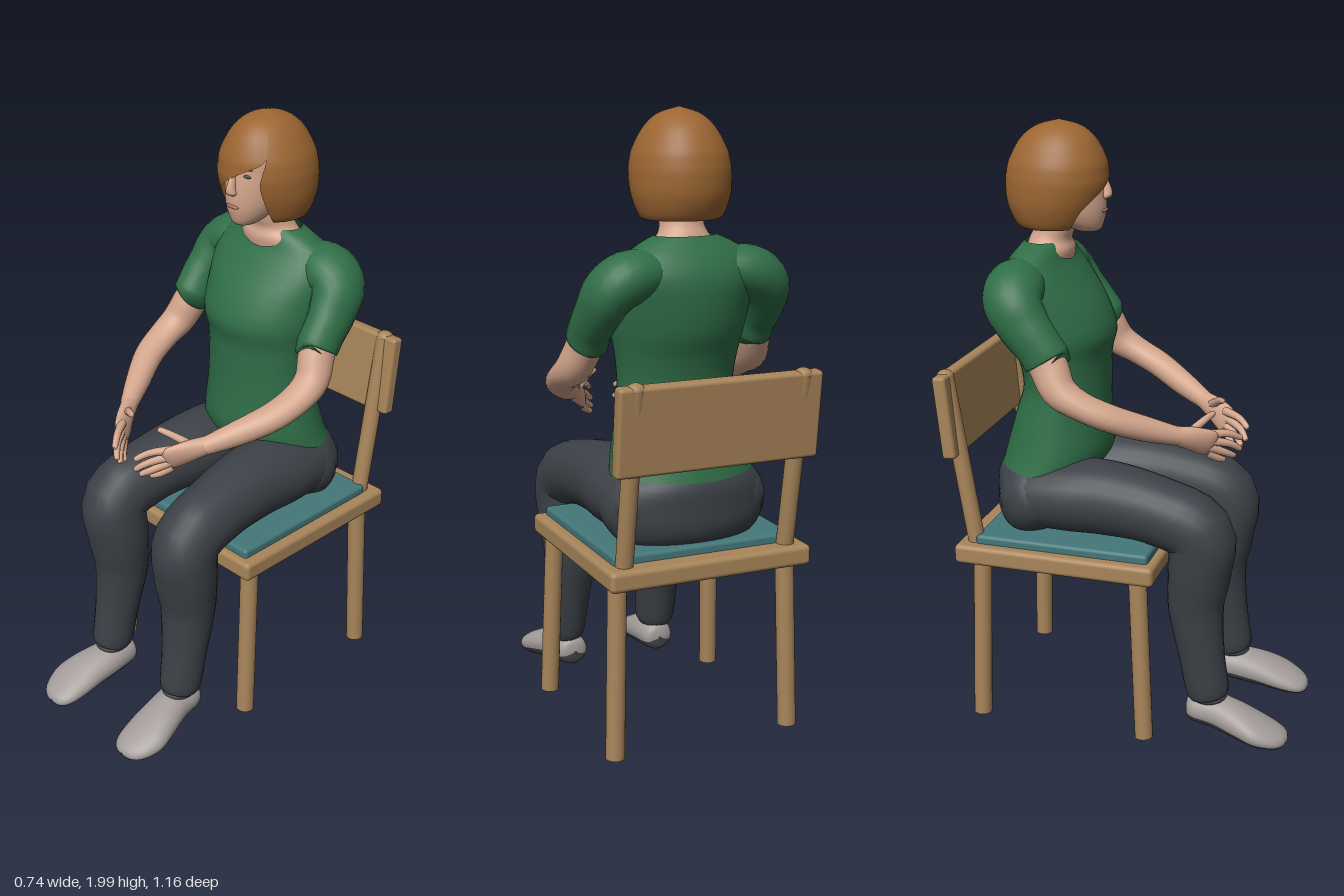
import * as THREE from 'three';
import { RoundedBoxGeometry } from 'three/addons/geometries/RoundedBoxGeometry.js';

const paint = (name, color, side = THREE.FrontSide) => {
  const m = new THREE.MeshStandardMaterial({ color, side });
  m.name = name;
  return m;
};

// Smooth skin over cross-sections: each row is [x, y, z, radiusU, radiusV, startDeg, endDeg].
// U is the ref axis squared to the path; a fixed normal keeps all rings parallel.
function loft(rows, { ref = [1, 0, 0], normal = null, steps = 4, sides = 24 } = {}) {
  const curve = (f) => new THREE.CatmullRomCurve3(rows.map((r) => new THREE.Vector3(...f(r))), false, 'catmullrom', 0.5);
  const path = curve((r) => [r[0], r[1], r[2]]);
  const size = curve((r) => [r[3], r[4], 0]);
  const arc = curve((r) => [r[5] ?? 0, r[6] ?? 360, 0]);
  const open = rows.some((r) => r.length > 5);
  const n = (rows.length - 1) * steps, w = open ? sides + 1 : sides;
  const pos = [], index = [];
  for (let i = 0; i <= n; i++) {
    const t = i / n, c = path.getPoint(t), s = size.getPoint(t), a = arc.getPoint(t);
    const dir = normal ? new THREE.Vector3(...normal) : path.getTangent(t);
    const u = new THREE.Vector3(...ref);
    u.addScaledVector(dir, -u.dot(dir)).normalize();
    const v = dir.clone().cross(u);
    for (let j = 0; j < w; j++) {
      const k = THREE.MathUtils.degToRad(a.x + (a.y - a.x) * j / sides);
      const p = c.clone().addScaledVector(u, Math.cos(k) * Math.max(s.x, 1e-4)).addScaledVector(v, Math.sin(k) * Math.max(s.y, 1e-4));
      pos.push(p.x, p.y, p.z);
    }
  }
  for (let i = 0; i < n; i++) for (let j = 0; j < sides; j++) {
    const a = i * w + j, b = i * w + (j + 1) % w;
    index.push(a, b, a + w, b, b + w, a + w);
  }
  const g = new THREE.BufferGeometry();
  g.setAttribute('position', new THREE.Float32BufferAttribute(pos, 3));
  g.setIndex(index);
  g.computeVertexNormals();
  return g;
}

export function createModel() {
  const root = new THREE.Group();
  root.name = 'seatedWoman';
  const wood = paint('wood', 0xa8855a), teal = paint('cushionTeal', 0x44777a);
  const skin = paint('skin', 0xd3a58c), green = paint('shirtGreen', 0x2f6e47, THREE.DoubleSide);
  const denim = paint('trouserGrey', 0x3c4147), hairMat = paint('hairBrown', 0x9c6632, THREE.DoubleSide);
  const shoe = paint('shoeGrey', 0xa39c9a, THREE.DoubleSide), dark = paint('soleGrey', 0x45494d, THREE.DoubleSide);
  const lip = paint('lipRose', 0xb07a6c), eyeMat = paint('eyeDark', 0x5a5048);

  const add = (name, geo, mat, at = [0, 0, 0]) => {
    const m = new THREE.Mesh(geo, mat);
    m.name = name;
    m.position.set(...at);
    root.add(m);
    return m;
  };
  const rod = (name, a, b, r) => {
    const A = new THREE.Vector3(...a), B = new THREE.Vector3(...b), d = B.clone().sub(A);
    const m = add(name, new THREE.CylinderGeometry(r, r, d.length(), 20), wood, A.clone().add(B).multiplyScalar(0.5).toArray());
    m.quaternion.setFromUnitVectors(new THREE.Vector3(0, 1, 0), d.normalize());
  };
  const blob = (name, mat, at, scale) => add(name, new THREE.SphereGeometry(1, 20, 14), mat, at).scale.set(...scale);
  const level = { normal: [0, 1, 0], sides: 36 };

  // Chair
  add('seatFrame', new RoundedBoxGeometry(0.68, 0.066, 0.675, 3, 0.016), wood, [0, 0.626, -0.182]);
  add('cushion', new RoundedBoxGeometry(0.61, 0.05, 0.585, 3, 0.012), teal, [0, 0.662, -0.163]);
  add('backrest', new RoundedBoxGeometry(0.67, 0.275, 0.046, 3, 0.012), wood, [0, 1.09, -0.538]).rotation.x = -0.1;
  for (const s of [1, -1]) {
    rod('frontLeg', [s * 0.303, 0.035, 0.12], [s * 0.288, 0.61, 0.093], 0.03);
    rod('backLeg', [s * 0.303, 0.035, -0.452], [s * 0.288, 0.61, -0.438], 0.03);
    rod('backPost', [s * 0.275, 0.64, -0.46], [s * 0.275, 1.215, -0.55], 0.028);
    blob('postCap', wood, [s * 0.275, 1.215, -0.55], [0.028, 0.022, 0.028]);
  }

  // Torso and hips
  add('shirtBody', loft([
    [0, 0.85, -0.295, 0.245, 0.16], [0, 0.93, -0.26, 0.225, 0.175], [0, 1.05, -0.245, 0.203, 0.155],
    [0, 1.15, -0.232, 0.19, 0.14], [0, 1.25, -0.24, 0.2, 0.15], [0, 1.33, -0.247, 0.215, 0.173],
    [0, 1.42, -0.272, 0.225, 0.163], [0, 1.5, -0.3, 0.235, 0.135], [0, 1.56, -0.31, 0.21, 0.1],
    [0, 1.6, -0.302, 0.15, 0.078], [0, 1.622, -0.297, 0.1, 0.066]], level), green);
  add('hips', loft([
    [0, 0.675, -0.32, 0.01, 0.01], [0, 0.68, -0.32, 0.2, 0.1], [0, 0.73, -0.3, 0.262, 0.155],
    [0, 0.8, -0.29, 0.278, 0.168], [0, 0.87, -0.295, 0.245, 0.158], [0, 0.91, -0.28, 0.18, 0.13],
    [0, 0.92, -0.28, 0.01, 0.01]], level), denim);

  // Neck and head
  add('neck', loft([
    [0, 1.54, -0.295, 0.11, 0.08], [0, 1.59, -0.284, 0.112, 0.077], [0, 1.625, -0.283, 0.08, 0.068],
    [0, 1.67, -0.268, 0.068, 0.066], [0, 1.78, -0.26, 0.068, 0.066]], level), skin);
  add('head', loft([
    [0, 1.65, -0.165, 0.003, 0.003], [0, 1.657, -0.16, 0.032, 0.04], [0, 1.685, -0.18, 0.062, 0.075],
    [0, 1.73, -0.2, 0.083, 0.103], [0, 1.79, -0.22, 0.095, 0.12], [0, 1.83, -0.225, 0.098, 0.119],
    [0, 1.88, -0.235, 0.1, 0.125], [0, 1.94, -0.245, 0.08, 0.1], [0, 1.965, -0.25, 0.003, 0.003]], level), skin);
  add('nose', loft([
    [0, 1.755, -0.103, 0.004, 0.004], [0, 1.766, -0.095, 0.018, 0.016], [0, 1.785, -0.094, 0.014, 0.017],
    [0, 1.815, -0.103, 0.009, 0.014], [0, 1.845, -0.112, 0.006, 0.006]], level), skin);
  blob('lips', lip, [0, 1.722, -0.1], [0.026, 0.007, 0.006]);
  for (const s of [1, -1]) {
    blob('eye', eyeMat, [s * 0.043, 1.825, -0.118], [0.017, 0.005, 0.006]);
    blob('brow', hairMat, [s * 0.045, 1.849, -0.119], [0.021, 0.0035, 0.006]);
  }

  // Bob haircut: the arc opens at the side parting and sweeps across the brow
  add('hair', loft([
    [0, 1.675, -0.265, 0.09, 0.08, -40, 222], [0, 1.672, -0.268, 0.125, 0.117, -43, 224],
    [0, 1.735, -0.265, 0.15, 0.152, -50, 232], [0, 1.8, -0.258, 0.155, 0.166, -53, 262],
    [0, 1.84, -0.256, 0.151, 0.164, -50, 286], [0, 1.88, -0.254, 0.14, 0.155, -45, 314],
    [0, 1.94, -0.252, 0.106, 0.122, -42, 318], [0, 1.98, -0.25, 0.062, 0.072, -42, 318],
    [0, 2, -0.25, 0.001, 0.001, -42, 318]], { ...level, sides: 48, steps: 5 }), hairMat);

  for (const s of [1, -1]) {
    const flip = (rows) => rows.map(([x, ...rest]) => [s * x, ...rest]);
    const limb = (name, rows, mat, opt) => add(name, loft(flip(rows), opt), mat);

    // Sleeve, arm and hand
    limb('sleeve', [
      [0.12, 1.515, -0.325, 0.08, 0.07], [0.2, 1.505, -0.33, 0.096, 0.082], [0.258, 1.465, -0.318, 0.093, 0.08],
      [0.277, 1.4, -0.275, 0.083, 0.07], [0.283, 1.345, -0.23, 0.076, 0.065], [0.283, 1.3, -0.2, 0.076, 0.064],
      [0.285, 1.302, -0.202, 0.055, 0.05]], green, { ref: [0, 0, 1] });
    limb('arm', [
      [0.282, 1.37, -0.25, 0.052, 0.06], [0.288, 1.29, -0.198, 0.056, 0.063], [0.308, 1.215, -0.155, 0.056, 0.056],
      [0.312, 1.175, -0.09, 0.054, 0.045], [0.293, 1.135, 0, 0.05, 0.043], [0.238, 1.092, 0.1, 0.041, 0.04],
      [0.18, 1.056, 0.195, 0.028, 0.03]], skin);
    limb('palm', [
      [0.184, 1.06, 0.185, 0.028, 0.03], [0.15, 1.042, 0.235, 0.024, 0.041], [0.115, 1.02, 0.28, 0.017, 0.045],
      [0.105, 1.012, 0.295, 0.003, 0.02]], skin);
    const fingers = [
      ['thumb', [0.148, 1.06, 0.222], [0.1, 1.09, 0.258], [0.065, 1.103, 0.278]],
      ['indexFinger', [0.118, 1.05, 0.275], [0.078, 1.045, 0.33], [0.05, 1.025, 0.365]],
      ['middleFinger', [0.115, 1.028, 0.28], [0.075, 1.01, 0.335], [0.045, 0.985, 0.362]],
      ['ringFinger', [0.114, 1.006, 0.278], [0.078, 0.98, 0.322], [0.05, 0.962, 0.345]],
      ['littleFinger', [0.118, 0.988, 0.27], [0.088, 0.962, 0.3], [0.065, 0.95, 0.315]]];
    for (const [name, a, b, c] of fingers) {
      const tip = c.map((q, k) => q + (c[k] - b[k]) * 0.12);
      limb(name, [[...a, 0.015, 0.015], [...b, 0.012, 0.012], [...c, 0.009, 0.009], [...tip, 0.001, 0.001]], skin, { sides: 10 });
    }

    // Trouser leg
    limb('trouserLeg', [
      [0.13, 0.79, -0.41, 0.02, 0.02], [0.138, 0.795, -0.36, 0.115, 0.1], [0.146, 0.805, -0.2, 0.135, 0.12],
      [0.15, 0.808, -0.05, 0.126, 0.122], [0.165, 0.79, 0.12, 0.113, 0.112], [0.175, 0.735, 0.265, 0.108, 0.112],
      [0.168, 0.6, 0.268, 0.108, 0.104], [0.167, 0.47, 0.257, 0.093, 0.092], [0.172, 0.3, 0.28, 0.076, 0.076],
      [0.175, 0.16, 0.305, 0.065, 0.069], [0.175, 0.162, 0.305, 0.03, 0.03]], denim);

    // Shoe: upper and sole share the same sections
    const foot = [
      [0.165, 0.1, 0.23, 0.004, 0.004], [0.165, 0.1, 0.238, 0.04, 0.04], [0.167, 0.1, 0.265, 0.057, 0.052],
      [0.17, 0.096, 0.33, 0.065, 0.058], [0.185, 0.08, 0.41, 0.076, 0.056], [0.194, 0.06, 0.48, 0.082, 0.047],
      [0.19, 0.043, 0.54, 0.067, 0.033], [0.186, 0.036, 0.57, 0.04, 0.02], [0.185, 0.035, 0.58, 0.004, 0.004]];
    const arc = (a, b) => foot.map((r) => [...r, a, b]);
    limb('shoeUpper', arc(-18, 198), shoe, { normal: [0, 0, 1] });
    limb('shoeSole', arc(198, 342), dark, { normal: [0, 0, 1] });
    blob('sock', dark, [s * 0.173, 0.15, 0.305], [0.055, 0.025, 0.062]);
  }
  return root;
}
